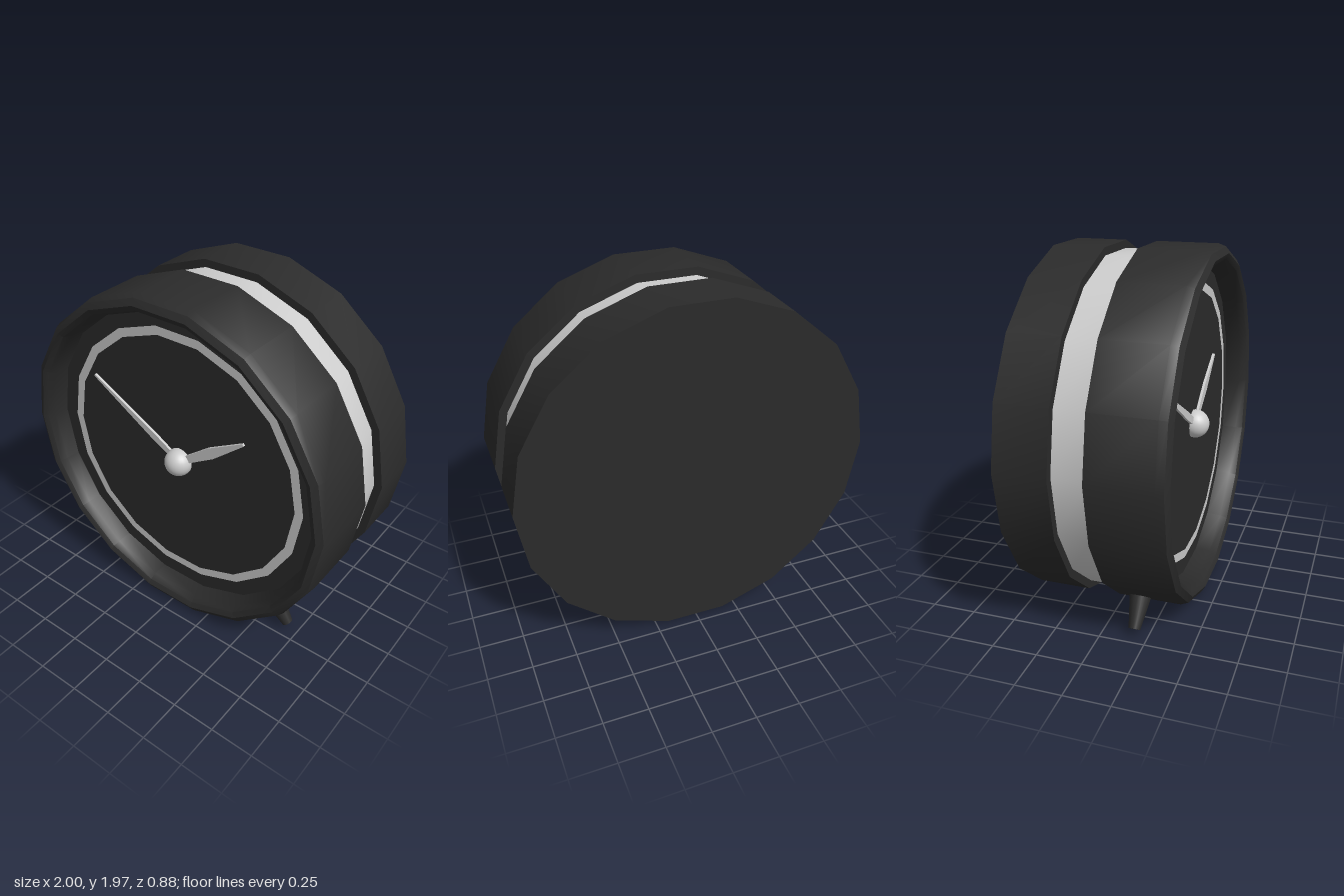
import * as THREE from 'three';
import { toCreasedNormals } from 'three/addons/utils/BufferGeometryUtils.js';

const SIDES = 18;
const CENTRE_Y = Math.cos(Math.PI / SIDES); // flat side of the polygon rests on the ground
const FACE_Z = 0.3;

const dark = new THREE.MeshStandardMaterial({ color: 0x2b2b2b });
const grey = new THREE.MeshStandardMaterial({ color: 0xcccccc });

function add(parent, name, geometry, material) {
  const mesh = new THREE.Mesh(geometry, material);
  mesh.name = name;
  parent.add(mesh);
  return mesh;
}

// Turns a [radius, z] profile, listed from back to front, about the z axis.
function turned(profile) {
  const points = profile.map(([r, z]) => new THREE.Vector2(r, z));
  const geometry = new THREE.LatheGeometry(points, SIDES, Math.PI / 2);
  geometry.rotateX(Math.PI / 2);
  return toCreasedNormals(geometry, 0.65);
}

// Slim hand pointing along +y from the origin, widest part way along.
function handGeometry(length, bulgeAt, width) {
  const shape = new THREE.Shape();
  shape.moveTo(-0.018, 0);
  shape.lineTo(0.018, 0);
  shape.lineTo(width / 2, bulgeAt);
  shape.lineTo(0.007, length);
  shape.lineTo(-0.007, length);
  shape.lineTo(-width / 2, bulgeAt);
  return new THREE.ExtrudeGeometry(shape, { depth: 0.015, bevelEnabled: false });
}

export function createModel() {
  const model = new THREE.Group();
  model.name = 'alarmClock';

  // Everything turned or mounted about the clock's axis
  const body = new THREE.Group();
  body.name = 'body';
  body.position.y = CENTRE_Y;
  model.add(body);

  add(body, 'backCase', turned([[0, -0.44], [1, -0.44], [1, -0.15], [0, -0.15]]), dark);
  add(body, 'middleBand', turned([[0.955, -0.16], [0.955, 0.04]]), grey);

  // Front case with a rounded rim and recessed dial
  add(body, 'frontCase', turned([
    [0, 0.03], [1, 0.03], [1, 0.38], [0.985, 0.42], [0.95, 0.44],
    [0.92, 0.425], [0.9, 0.385], [0.89, FACE_Z], [0, FACE_Z],
  ]), dark);

  // Dial ring
  const ring = add(body, 'dialRing', new THREE.RingGeometry(0.746, 0.797, SIDES), grey);
  ring.position.z = FACE_Z + 0.004;

  // Hands and hub
  const hands = [
    ['minuteHand', 0.69, 0.2, 0.044, -0.6, 0.345],
    ['hourHand', 0.52, 0.27, 0.064, 0.43, 0.295],
  ];
  for (const [name, length, bulgeAt, width, tipX, tipY] of hands) {
    const hand = add(body, name, handGeometry(length, bulgeAt, width), grey);
    hand.position.z = FACE_Z + 0.005;
    hand.rotation.z = Math.atan2(-tipX, tipY);
  }
  const hub = add(body, 'hub', new THREE.SphereGeometry(0.08, 24, 16), grey);
  hub.position.z = FACE_Z + 0.015;

  // Splayed tapered feet
  const up = new THREE.Vector3(0, 1, 0);
  for (const side of [1, -1]) {
    const top = new THREE.Vector3(side * 0.576, 0.176, 0.175);
    const tip = new THREE.Vector3(side * 0.68, 0.036, 0.175);
    const axis = top.clone().sub(tip);
    const foot = add(model, side > 0 ? 'leftFoot' : 'rightFoot',
      new THREE.CylinderGeometry(0.059, 0.032, axis.length(), 16), dark);
    foot.position.copy(top).add(tip).multiplyScalar(0.5);
    foot.quaternion.setFromUnitVectors(up, axis.normalize());
  }

  return model;
}
